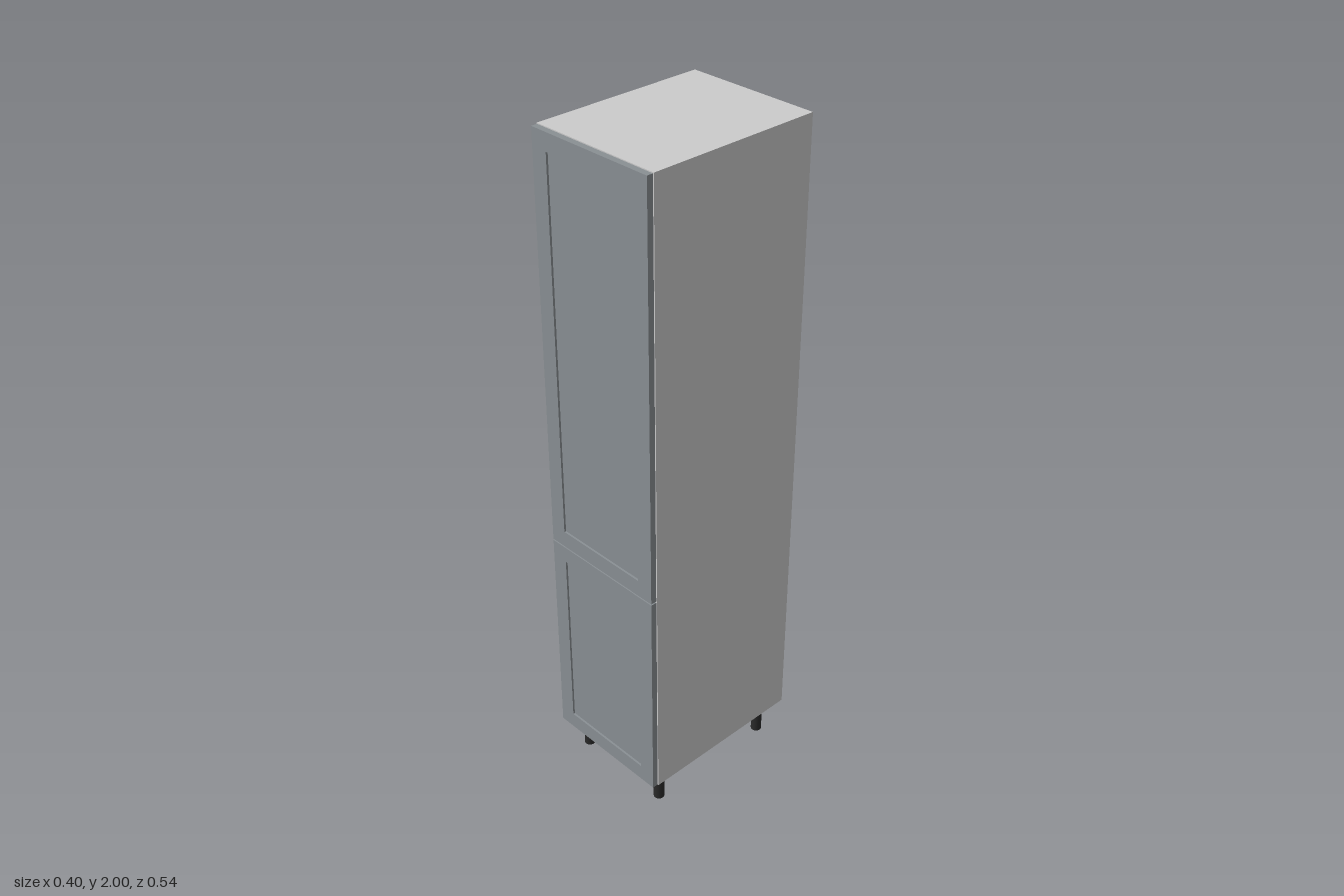
import * as THREE from 'three';

const board = new THREE.MeshStandardMaterial({ color: 0xcccccc });
const paint = new THREE.MeshStandardMaterial({ color: 0x8a9094 });
const black = new THREE.MeshStandardMaterial({ color: 0x2a2a2a });

// Box given by its min and max corners
function box(name, material, [x0, y0, z0], [x1, y1, z1]) {
  const mesh = new THREE.Mesh(new THREE.BoxGeometry(x1 - x0, y1 - y0, z1 - z0), material);
  mesh.name = name;
  mesh.position.set((x0 + x1) / 2, (y0 + y1) / 2, (z0 + z1) / 2);
  return mesh;
}

// Rectangular outline, usable as a shape or a hole
function rect(PathType, x, y0, y1) {
  const p = new PathType();
  p.moveTo(-x, y0);
  p.lineTo(x, y0);
  p.lineTo(x, y1);
  p.lineTo(-x, y1);
  p.closePath();
  return p;
}

// Framed door with a recessed centre panel
function makeDoor(name, y0, y1) {
  const door = new THREE.Group();
  door.name = name;
  const half = 0.2, rail = 0.05, back = 0.252, front = 0.27;
  const outline = rect(THREE.Shape, half, y0, y1);
  outline.holes.push(rect(THREE.Path, half - rail, y0 + rail, y1 - rail));
  const frame = new THREE.Mesh(
    new THREE.ExtrudeGeometry(outline, { depth: front - back, bevelEnabled: false }), paint);
  frame.name = name + 'Frame';
  frame.position.z = back;
  const panel = box(name + 'Panel', paint,
    [rail - half, y0 + rail, back], [half - rail, y1 - rail, front - 0.006]);
  door.add(frame, panel);
  return door;
}

export function createModel() {
  const cabinet = new THREE.Group();
  cabinet.name = 'tallCabinet';

  // Carcass: sides, top, bottom and back
  const w = 0.202, t = 0.015, bottom = 0.107, top = 2, zBack = -0.27, zFront = 0.251;
  const inner = w - t;
  cabinet.add(
    box('leftSide', board, [inner, bottom, zBack], [w, top, zFront]),
    box('rightSide', board, [-w, bottom, zBack], [-inner, top, zFront]),
    box('topPanel', board, [-inner, top - t, zBack], [inner, top, zFront]),
    box('bottomPanel', board, [-inner, bottom, zBack], [inner, bottom + t, zFront]),
    box('backPanel', board, [-inner, bottom + t, zBack], [inner, top - t, zBack + 0.005]),
  );

  // Doors
  cabinet.add(makeDoor('lowerDoor', 0.109, 0.784), makeDoor('upperDoor', 0.788, 1.998));

  // Legs
  const legGeometry = new THREE.CylinderGeometry(0.016, 0.016, bottom, 24);
  for (const x of [-0.155, 0.155]) {
    for (const z of [-0.209, 0.205]) {
      const leg = new THREE.Mesh(legGeometry, black);
      leg.name = (z > 0 ? 'front' : 'back') + (x > 0 ? 'Left' : 'Right') + 'Leg';
      leg.position.set(x, bottom / 2, z);
      cabinet.add(leg);
    }
  }
  return cabinet;
}
